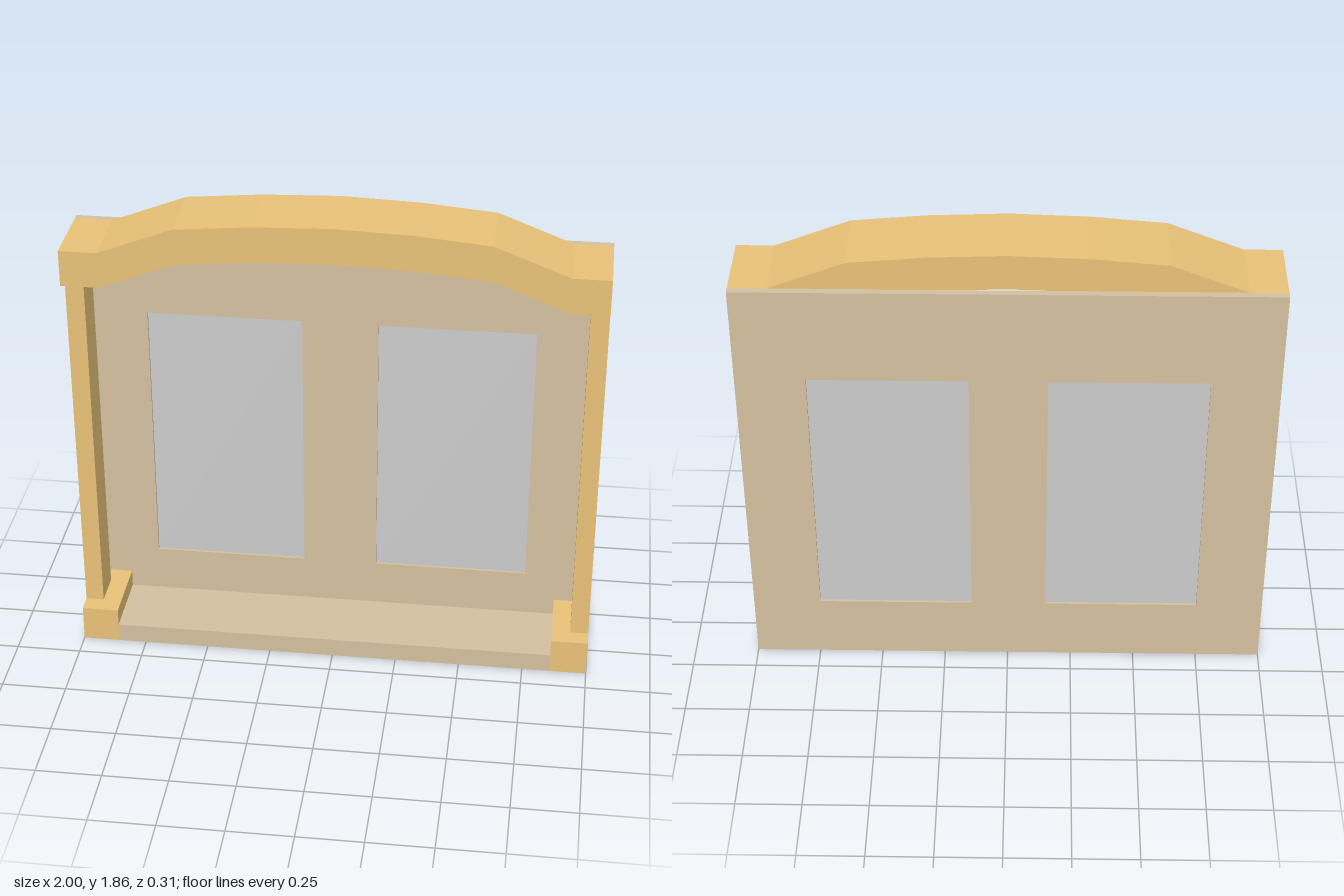
import * as THREE from 'three';

const wood = new THREE.MeshStandardMaterial({ color: 0xe8c277 });
const plaster = new THREE.MeshStandardMaterial({ color: 0xd4c0a0 });
const glass = new THREE.MeshStandardMaterial({ color: 0xcccccc });

const BACK = -0.155, WALL_FRONT = -0.127, FRONT = 0.157;
const WALL_TOP = 1.715, BEAM_HEIGHT = 0.14;

// Box given by its lower and upper limits on each axis
function box(name, material, [x0, x1], [y0, y1], [z0, z1]) {
  const mesh = new THREE.Mesh(new THREE.BoxGeometry(x1 - x0, y1 - y0, z1 - z0), material);
  mesh.position.set((x0 + x1) / 2, (y0 + y1) / 2, (z0 + z1) / 2);
  mesh.name = name;
  return mesh;
}

// Outline in the xy plane extruded from z0 to z1
function slab(name, material, shape, z0, z1) {
  const geometry = new THREE.ExtrudeGeometry(shape, { depth: z1 - z0, bevelEnabled: false });
  const mesh = new THREE.Mesh(geometry, material);
  mesh.position.z = z0;
  mesh.name = name;
  return mesh;
}

const rectangle = (x0, x1, y0, y1) => [
  new THREE.Vector2(x0, y0), new THREE.Vector2(x1, y0),
  new THREE.Vector2(x1, y1), new THREE.Vector2(x0, y1),
];

export function createModel() {
  const model = new THREE.Group();
  model.name = 'windowBay';

  // Back wall with two window openings, and a pane set in each
  const wall = new THREE.Shape(rectangle(-1, 1, 0, WALL_TOP));
  const y0 = 0.26, y1 = 1.335;
  for (const [side, x0, x1] of [['right', -0.742, -0.148], ['left', 0.142, 0.738]]) {
    wall.holes.push(new THREE.Path(rectangle(x0, x1, y0, y1)));
    model.add(box(side + 'WindowPane', glass, [x0, x1], [y0, y1], [-0.145, -0.137]));
  }
  model.add(slab('backWall', plaster, wall, BACK, WALL_FRONT));

  // Low floor between the plinths
  model.add(box('floor', plaster, [-0.858, 0.858], [0, 0.075], [WALL_FRONT, FRONT]));

  // Plinth and post at each end
  for (const [side, s] of [['left', 1], ['right', -1]]) {
    const span = (a, b) => (s > 0 ? [a, b] : [-b, -a]);
    model.add(box(side + 'Plinth', wood, span(0.858, 1), [0, 0.143], [WALL_FRONT, FRONT]));
    model.add(box(side + 'Post', wood, span(0.93, 1), [0.143, 1.575], [-0.055, 0.088]));
  }

  // Arched beam: one half of the top line, mirrored, with constant height
  const half = [[1, WALL_TOP], [0.858, WALL_TOP], [0.575, 1.825], [0.29, 1.85]];
  const topLine = [
    ...half.map(([x, y]) => [-x, y]),
    [0, 1.86],
    ...half.slice().reverse(),
  ];
  const outline = [
    ...topLine.map(([x, y]) => new THREE.Vector2(x, y - BEAM_HEIGHT)),
    ...topLine.slice().reverse().map(([x, y]) => new THREE.Vector2(x, y)),
  ];
  model.add(slab('archedBeam', wood, new THREE.Shape(outline), WALL_FRONT, FRONT));

  return model;
}
